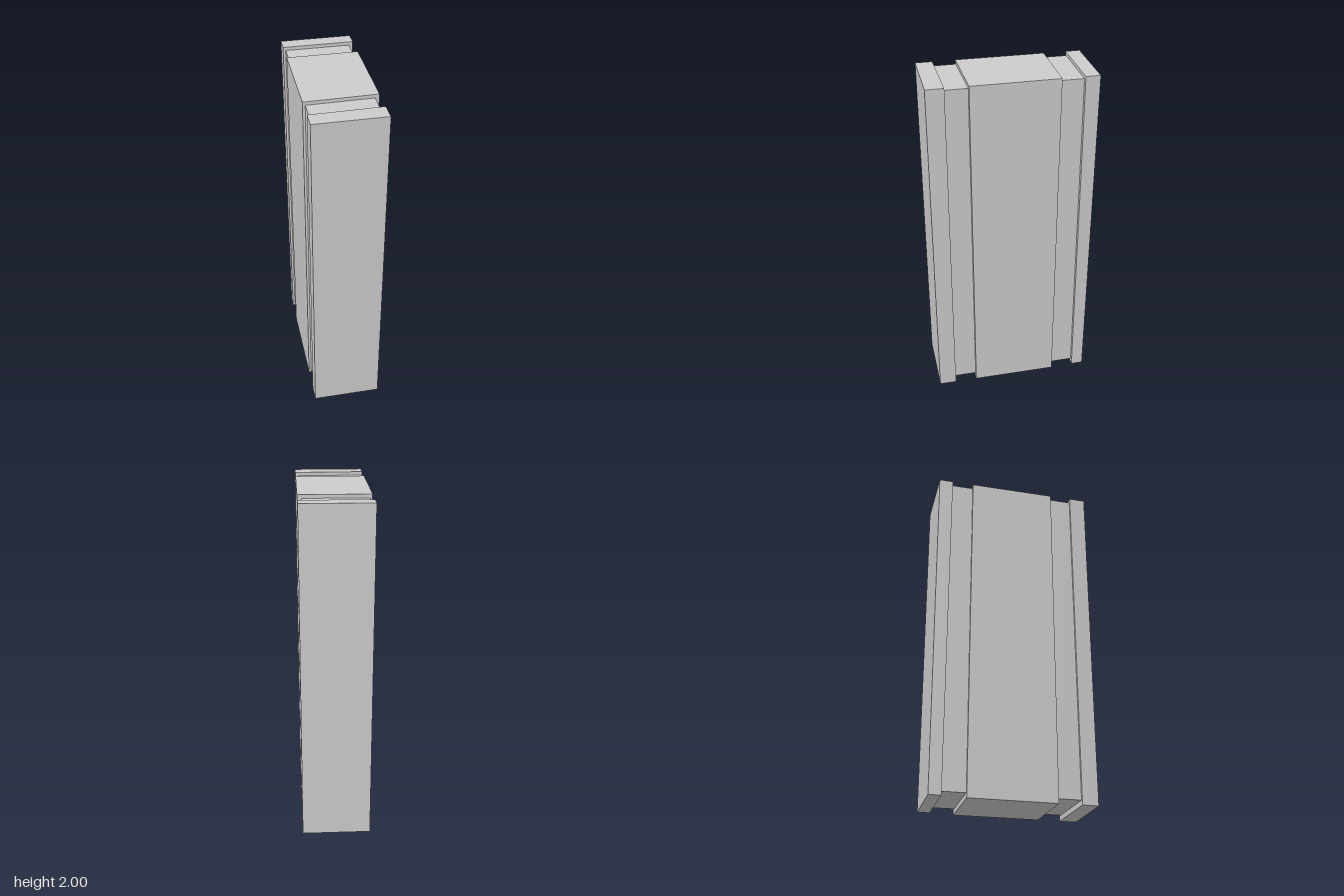
import * as THREE from 'three';

const material = new THREE.MeshStandardMaterial({ color: 0xcccccc, flatShading: true });

// Block between two z planes; each plane may be slightly skewed across x and y.
// A plane is [z at the middle, slope along x, slope along y].
function block(name, x0, x1, y0, y1, back, front) {
  const geo = new THREE.BoxGeometry(x1 - x0, y1 - y0, 1);
  const p = geo.attributes.position;
  for (let i = 0; i < p.count; i++) {
    const x = p.getX(i) + (x0 + x1) / 2;
    const y = p.getY(i) + (y0 + y1) / 2;
    const [z0, sx, sy] = p.getZ(i) > 0 ? front : back;
    const z = z0 + sx * x + sy * (y - 1);
    p.setXYZ(i, x + 0.0065 * z, y, z); // whole pillar leans a touch sideways
  }
  geo.computeVertexNormals();
  const mesh = new THREE.Mesh(geo, material);
  mesh.name = name;
  return mesh;
}

export function createModel() {
  const group = new THREE.Group();
  group.name = 'groovedPillar';

  // Dividing planes, from back to front
  const backFace = [-0.471, 0, -0.003];
  const backSlabInner = [-0.394, 0, 0.003];
  const coreBack = [-0.262, 0, 0];
  const coreFront = [0.243, -0.018, 0];
  const frontSlabInner = [0.374, -0.018, -0.002];
  const frontFace = [0.472, 0, -0.001];

  group.add(
    // Full-size core and end slabs
    block('core', -0.201, 0.201, 0, 2, coreBack, coreFront),
    block('frontSlab', -0.201, 0.201, 0, 2, frontSlabInner, frontFace),
    block('backSlab', -0.201, 0.201, 0.005, 2, backFace, backSlabInner),
    // Recessed strips that form the grooves
    block('frontGroove', -0.187, 0.178, 0.03, 1.98, coreFront, frontSlabInner),
    block('backGroove', -0.187, 0.178, 0.03, 1.98, backSlabInner, coreBack)
  );
  return group;
}
